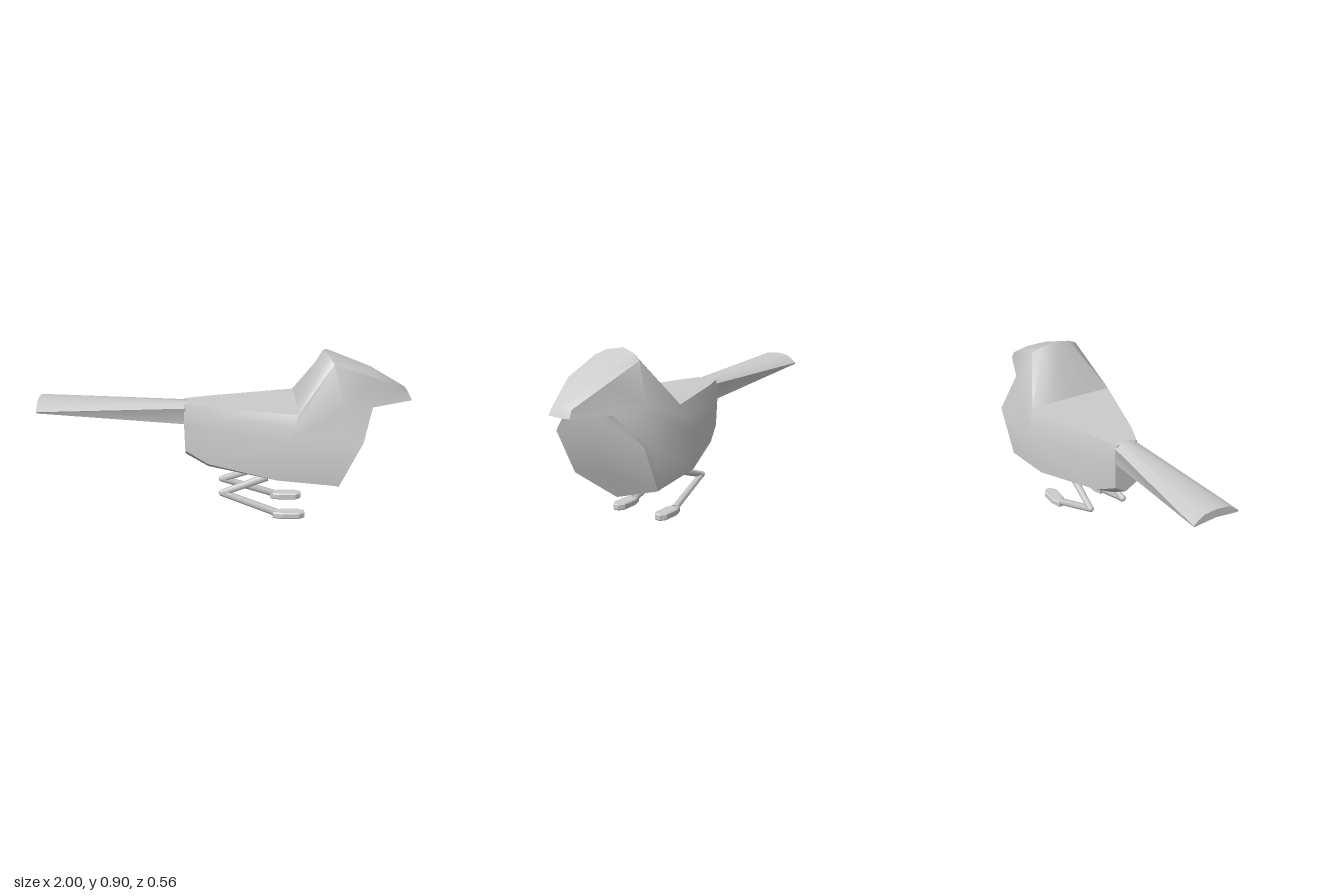
import * as THREE from 'three';
import { mergeVertices, toCreasedNormals } from 'three/addons/utils/BufferGeometryUtils.js';

const grey = () => new THREE.MeshStandardMaterial({ color: 0xcccccc, side: THREE.DoubleSide });

// Skins rows of points (top centre round the +z side to bottom centre) and mirrors them in z
function skin(...patches) {
  const pos = [];
  const tri = (a, b, c) => {
    const [A, B, C] = [a, b, c].map((p) => new THREE.Vector3(...p));
    const area = B.clone().sub(A).cross(C.clone().sub(A)).length();
    if (area < 1e-7) return;
    pos.push(...a, ...b, ...c);
    for (const p of [a, c, b]) pos.push(p[0], p[1], -p[2]);
  };
  for (const rows of patches) {
    for (let i = 0; i < rows.length - 1; i++) {
      for (let j = 0; j < rows[i].length - 1; j++) {
        const a = rows[i][j], b = rows[i][j + 1], c = rows[i + 1][j], d = rows[i + 1][j + 1];
        tri(a, b, c);
        tri(b, d, c);
      }
    }
  }
  const g = new THREE.BufferGeometry();
  g.setAttribute('position', new THREE.Float32BufferAttribute(pos, 3));
  return toCreasedNormals(mergeVertices(g), 0.85);
}

// A row collapsed to one point, used to close an end
const point = (row, p) => row.map(() => p);

function mesh(name, geometry) {
  const m = new THREE.Mesh(geometry, grey());
  m.name = name;
  return m;
}

function bodyGeometry() {
  const rump = [[-0.22, 0.62, 0], [-0.22, 0.62, 0.035], [-0.22, 0.62, 0.06], [-0.22, 0.57, 0.07],
    [-0.22, 0.51, 0.07], [-0.215, 0.36, 0.065], [-0.215, 0.32, 0]];
  const belly = [[-0.09, 0.62, 0], [-0.09, 0.62, 0.06], [-0.09, 0.62, 0.11], [-0.09, 0.57, 0.12],
    [-0.09, 0.5, 0.125], [-0.09, 0.3, 0.115], [-0.09, 0.245, 0]];
  const shoulder = [[0.385, 0.62, 0], [0.385, 0.62, 0.12], [0.38, 0.62, 0.245], [0.36, 0.56, 0.263],
    [0.33, 0.48, 0.28], [0.28, 0.26, 0.255], [0.28, 0.19, 0]];
  const crown = [[0.52, 0.905, 0], [0.55, 0.89, 0.085], [0.57, 0.86, 0.14], [0.62, 0.66, 0.215],
    [0.66, 0.48, 0.28], [0.58, 0.235, 0.27], [0.59, 0.145, 0]];
  const face = [[0.79, 0.8, 0], [0.79, 0.797, 0.07], [0.79, 0.785, 0.125], [0.78, 0.63, 0.145],
    [0.72, 0.48, 0.28], [0.6, 0.23, 0.27], [0.59, 0.145, 0]];
  const throat = [0.78, 0.622, 0];
  const tip = [[0.975, 0.692, 0], [0.975, 0.692, 0.035], [0.978, 0.685, 0.06],
    [1, 0.645, 0.065], [1, 0.643, 0]];
  const breast = [throat, [0.762, 0.47, 0], [0.675, 0.305, 0], [0.59, 0.145, 0]];
  return skin(
    [point(rump, [-0.22, 0.5, 0]), rump, belly, shoulder, crown, face],
    [[...face.slice(0, 4), throat], tip, point(tip, [0.99, 0.665, 0])],
    [face.slice(3), breast],
  );
}

function tailGeometry() {
  const end = [[-1, 0.65, 0], [-1, 0.642, 0.07], [-1, 0.6, 0.13], [-1, 0.592, 0.125], [-1, 0.605, 0]];
  const root = [[-0.2, 0.621, 0], [-0.2, 0.62, 0.04], [-0.2, 0.6, 0.068], [-0.2, 0.51, 0.066], [-0.2, 0.51, 0]];
  return skin([point(end, [-1, 0.625, 0]), end, root, point(root, [-0.2, 0.56, 0])]);
}

// Straight bone between two points
function bone(name, a, b, r1, r2) {
  const A = new THREE.Vector3(...a), B = new THREE.Vector3(...b), d = B.clone().sub(A);
  const m = mesh(name, new THREE.CylinderGeometry(r2, r1, d.length(), 6));
  m.position.copy(A).addScaledVector(d, 0.5);
  m.quaternion.setFromUnitVectors(new THREE.Vector3(0, 1, 0), d.normalize());
  return m;
}

function makeLeg(name, s) {
  const leg = new THREE.Group();
  leg.name = name;
  const hip = [0.23, 0.215, 0.085 * s], knee = [-0.015, 0.13, 0.105 * s], ankle = [0.28, 0.027, 0.138 * s];
  leg.add(bone('thigh', hip, knee, 0.022, 0.018), bone('shin', knee, ankle, 0.019, 0.021));
  const joint = mesh('knee', new THREE.SphereGeometry(0.02, 6, 4));
  joint.position.set(...knee);
  leg.add(joint);

  // Foot: flat pointed outline with a small bevel
  const outline = [[0.265, -0.015], [0.31, -0.031], [0.4, -0.031], [0.428, -0.012],
    [0.428, 0.012], [0.4, 0.031], [0.31, 0.031], [0.265, 0.015]];
  const shape = new THREE.Shape(outline.map(([x, z]) => new THREE.Vector2(x, z)));
  const g = new THREE.ExtrudeGeometry(shape, {
    depth: 0.024, bevelEnabled: true, bevelSize: 0.006, bevelThickness: 0.006, bevelSegments: 1,
  });
  g.rotateX(-Math.PI / 2);
  const foot = mesh('foot', g);
  foot.position.set(0, 0.006, 0.138 * s);
  leg.add(foot);
  return leg;
}

export function createModel() {
  const bird = new THREE.Group();
  bird.name = 'bird';
  bird.add(mesh('bodyAndHead', bodyGeometry()), mesh('tail', tailGeometry()));
  bird.add(makeLeg('nearLeg', 1), makeLeg('farLeg', -1));
  return bird;
}
